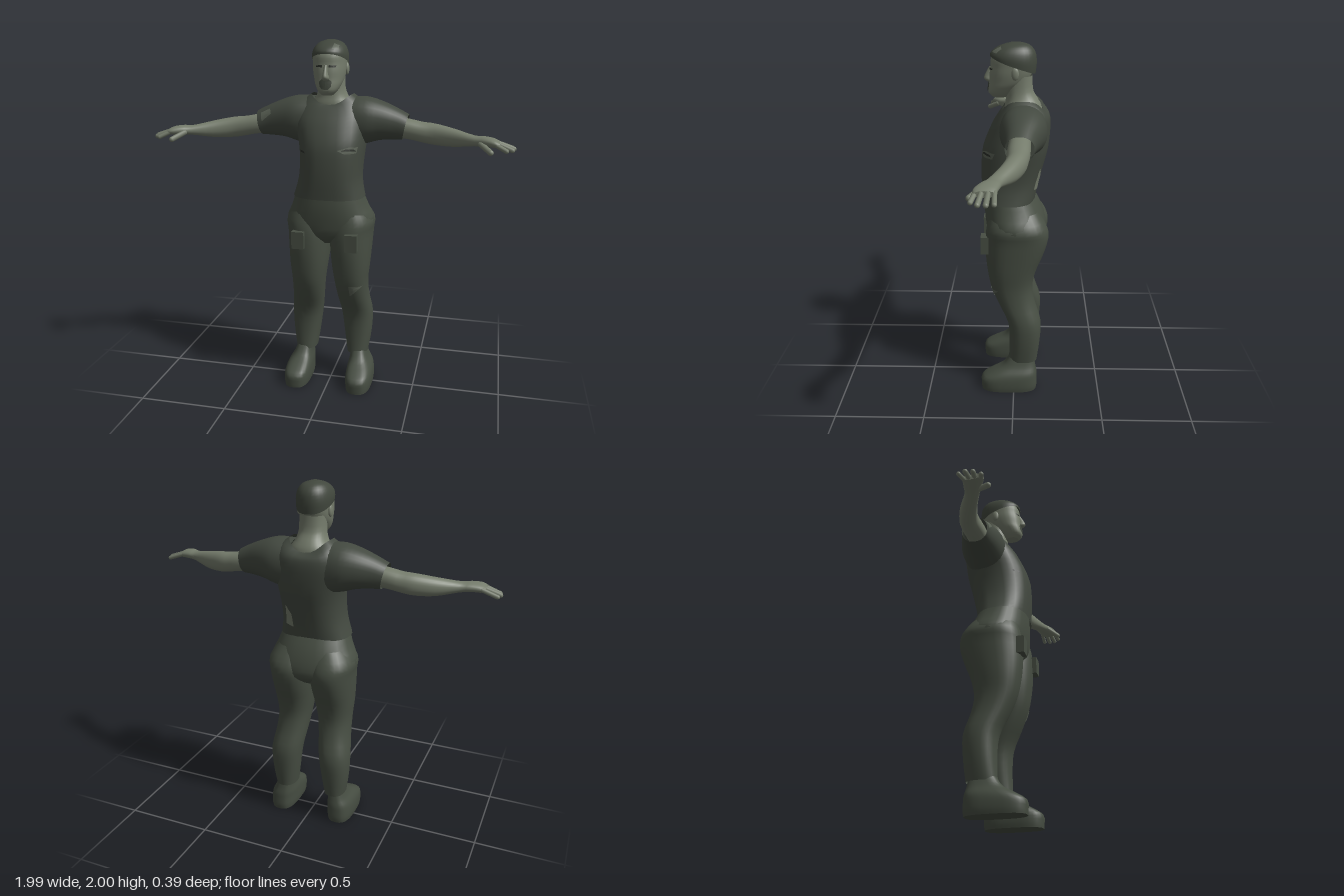
import * as THREE from 'three';

const mat = (name, color) => {
  const m = new THREE.MeshStandardMaterial({ color, side: THREE.DoubleSide });
  m.name = name;
  return m;
};

// Smooth interpolation of profile rows, three steps per span
function refine(rows, steps = 3) {
  const out = [], at = i => rows[Math.min(Math.max(i, 0), rows.length - 1)];
  for (let i = 0; i < rows.length - 1; i++) {
    for (let s = 0; s < steps; s++) {
      const u = s / steps;
      out.push(rows[i].map((p1, k) => {
        const p0 = at(i - 1)[k], p2 = at(i + 1)[k], p3 = at(i + 2)[k];
        const m1 = (p2 - p0) / 2, m2 = (p3 - p1) / 2;
        return p1 + u * (m1 + u * (3 * (p2 - p1) - 2 * m1 - m2 + u * (2 * (p1 - p2) + m1 + m2)));
      }));
    }
  }
  out.push(rows[rows.length - 1]);
  return out;
}

// Skin a list of closed rings, optionally capping the first and last
function skin(rings, capStart, capEnd) {
  const n = rings[0].length, pos = [], idx = [];
  rings.forEach(r => r.forEach(p => pos.push(...p)));
  for (let j = 0; j < rings.length - 1; j++) {
    for (let i = 0; i < n; i++) {
      const a = j * n + i, b = j * n + (i + 1) % n;
      idx.push(a, b, b + n, a, b + n, a + n);
    }
  }
  const cap = (ring, flip) => {
    const base = pos.length / 3;
    ring.forEach(p => pos.push(...p));
    pos.push(...[0, 1, 2].map(k => ring.reduce((s, p) => s + p[k], 0) / n));
    for (let i = 0; i < n; i++) {
      const a = base + i, b = base + (i + 1) % n;
      idx.push(...(flip ? [b, a, base + n] : [a, b, base + n]));
    }
  };
  if (capStart) cap(rings[0], true);
  if (capEnd) cap(rings[rings.length - 1], false);
  const g = new THREE.BufferGeometry();
  g.setAttribute('position', new THREE.Float32BufferAttribute(pos, 3));
  g.setIndex(idx);
  g.computeVertexNormals();
  return g;
}

const N = 28;
const angles = Array.from({ length: N }, (_, i) => (i / N) * Math.PI * 2);
const bulge = (v, e) => Math.sign(v) * Math.pow(Math.abs(v), 2 / e);

// Upright loft; rows are [y, xMin, xMax, zFront, zBack, tilt, frontDip, backDip]
function upright(rows, e = 2.3, capStart = false, capEnd = false) {
  return skin(refine(rows).map(([y, x0, x1, zf, zb, tilt = 0, df = 0, db = 0]) => angles.map(t => {
    const c = Math.cos(t), f = -Math.sin(t);
    return [
      (x0 + x1) / 2 + (x1 - x0) / 2 * bulge(c, e),
      y + tilt * f - Math.pow(Math.abs(f), 3) * (f > 0 ? df : db),
      (zf + zb) / 2 + (zf - zb) / 2 * bulge(f, e)];
  })), capStart, capEnd);
}

// Sideways loft toward +x; rows are [x, yTop, yBottom, zFront, zBack, slant]
function sideways(rows, e = 2.1, capStart = false, capEnd = false) {
  return skin(refine(rows).map(([x, yt, yb, zf, zb, slant = 0]) => angles.map(t => [
    x + slant * Math.cos(t),
    (yt + yb) / 2 + (yt - yb) / 2 * bulge(Math.cos(t), e),
    (zf + zb) / 2 + (zf - zb) / 2 * bulge(Math.sin(t), e)])), capStart, capEnd);
}

// Copy to the other side of x = 0 and restore the winding
function mirror(geo) {
  const g = geo.clone().applyMatrix4(new THREE.Matrix4().makeScale(-1, 1, 1));
  const ix = g.index.array;
  for (let i = 0; i < ix.length; i += 3) [ix[i], ix[i + 1]] = [ix[i + 1], ix[i]];
  return g;
}

// Rounded finger between two points
function finger(a, b, r) {
  const A = new THREE.Vector3(...a), B = new THREE.Vector3(...b), d = B.clone().sub(A);
  const g = new THREE.CapsuleGeometry(r, d.length() - r, 4, 10);
  g.applyQuaternion(new THREE.Quaternion().setFromUnitVectors(new THREE.Vector3(0, 1, 0), d.clone().normalize()));
  const mid = A.add(B).multiplyScalar(0.5);
  return g.translate(mid.x, mid.y, mid.z);
}

// Thin convex plate draped on a mesh from the front (dir 1) or back (dir -1)
function drape(target, outline, dir = 1, lift = 0.004) {
  const ray = new THREE.Raycaster(), pts = [];
  outline.forEach((p, i) => {
    const q = outline[(i + 1) % outline.length];
    for (const u of [0, 0.25, 0.5, 0.75]) pts.push([p[0] + (q[0] - p[0]) * u, p[1] + (q[1] - p[1]) * u]);
  });
  const cx = pts.reduce((s, p) => s + p[0], 0) / pts.length;
  const cy = pts.reduce((s, p) => s + p[1], 0) / pts.length;
  // Order the outline so the plate faces outward
  const area = outline.reduce((s, p, i) => {
    const q = outline[(i + 1) % outline.length];
    return s + p[0] * q[1] - q[0] * p[1];
  }, 0);
  if (area * dir < 0) pts.reverse();
  return skin([1, 0.66, 0.33, 0.01].map(k => pts.map(p => {
    const x = cx + (p[0] - cx) * k, y = cy + (p[1] - cy) * k;
    ray.set(new THREE.Vector3(x, y, dir * 2), new THREE.Vector3(0, 0, -dir));
    const hit = ray.intersectObject(target)[0];
    return [x, y, (hit ? hit.point.z : 0) + dir * lift];
  })));
}

export function createModel() {
  const model = new THREE.Group();
  const skinTone = mat('skin', 0x757c6c), shirtCloth = mat('shirt cloth', 0x434940);
  const trouserCloth = mat('trouser cloth', 0x474e43), bootLeather = mat('boot leather', 0x454c41);
  const hairTone = mat('hair', 0x41473d), wornCloth = mat('worn cloth', 0x5a6155), dark = mat('dark', 0x2c302a);

  const add = (name, geo, m) => {
    const mesh = new THREE.Mesh(geo, m);
    mesh.name = name;
    model.add(mesh);
    return mesh;
  };
  const pair = (name, geo, m) => [add('left' + name, geo, m), add('right' + name, mirror(geo), m)];

  // Shirt body with dipped neckline
  const shirt = add('shirt', upright([
    [1.155, -.2, .2, .175, -.115, 0, 0, 0], [1.25, -.172, .182, .182, -.135, 0, 0, 0],
    [1.35, -.165, .185, .182, -.16, 0, 0, 0], [1.45, -.175, .195, .17, -.185, 0, 0, 0],
    [1.55, -.2, .2, .13, -.195, 0, 0, 0], [1.62, -.195, .195, .095, -.192, 0, .01, .01],
    [1.675, -.16, .16, .07, -.178, 0, .03, .04], [1.71, -.115, .115, .056, -.15, 0, .052, .06]], 2.5), shirtCloth);

  // Open sleeves
  const sleeves = pair('Sleeve', sideways([
    [.09, 1.695, 1.42, .07, -.17, 0], [.19, 1.697, 1.44, .075, -.175, 0],
    [.27, 1.675, 1.462, .06, -.155, .005], [.35, 1.64, 1.47, .045, -.125, .01],
    [.41, 1.608, 1.472, .04, -.108, .015]], 2.2), shirtCloth);

  // Arms, palms and fingers
  pair('Arm', sideways([
    [.28, 1.61, 1.49, .02, -.09], [.43, 1.585, 1.475, .028, -.088], [.5, 1.572, 1.462, .03, -.08],
    [.57, 1.566, 1.452, .036, -.068], [.67, 1.548, 1.452, .065, -.03], [.78, 1.525, 1.47, .112, .03],
    [.83, 1.526, 1.474, .14, .042], [.88, 1.52, 1.474, .162, .053], [.91, 1.506, 1.476, .158, .06]],
  2.2, true, true), skinTone);
  [[[.885, 1.497, .066], [.978, 1.466, .064], .012],
    [[.885, 1.5, .092], [.988, 1.466, .1], .013],
    [[.885, 1.5, .12], [.98, 1.464, .137], .013],
    [[.88, 1.497, .146], [.95, 1.464, .17], .012],
    [[.81, 1.492, .118], [.872, 1.455, .185], .015]]
    .forEach((f, i) => pair(i < 4 ? 'Finger' + (i + 1) : 'Thumb', finger(...f), skinTone));

  // Trousers
  add('trouserHips', upright([
    [.885, -.11, .11, .09, -.11], [.94, -.2, .2, .145, -.175], [1.01, -.25, .25, .16, -.178],
    [1.1, -.215, .215, .168, -.15], [1.18, -.187, .187, .166, -.108]]), trouserCloth);
  const legs = pair('TrouserLeg', upright([
    [.18, .095, .218, .03, -.135], [.3, .077, .236, .025, -.15], [.43, .06, .241, .035, -.155],
    [.55, .043, .225, .09, -.12], [.65, .03, .221, .13, -.105], [.75, .015, .23, .15, -.125],
    [.85, .004, .237, .16, -.165], [.95, -.004, .243, .16, -.193], [1.02, 0, .248, .15, -.18],
    [1.1, .01, .2, .13, -.13]]), trouserCloth);
  pair('ThighPocket', new THREE.BoxGeometry(.07, .098, .045).translate(.15, .918, .162), trouserCloth);

  // Boots
  pair('Boot', upright([
    [0, .112, .258, .19, -.132], [.03, .108, .262, .192, -.137], [.075, .108, .26, .188, -.136],
    [.11, .11, .25, .135, -.134], [.15, .117, .226, .065, -.126], [.2, .12, .208, .028, -.118]],
  2.8, true), bootLeather);

  // Neck and head
  add('neck', upright([
    [1.6, -.12, .12, .05, -.155], [1.66, -.112, .112, .053, -.147], [1.7, -.086, .086, .047, -.128],
    [1.75, -.073, .073, .045, -.1], [1.83, -.072, .072, .05, -.095]]), skinTone);
  const head = add('head', upright([
    [1.715, -.03, .03, .115, .04], [1.738, -.052, .052, .138, .005], [1.77, -.069, .069, .138, -.03],
    [1.8, -.079, .079, .134, -.07], [1.84, -.087, .087, .132, -.09], [1.88, -.09, .09, .126, -.1],
    [1.92, -.091, .091, .123, -.11], [1.96, -.078, .078, .098, -.1], [1.985, -.05, .05, .055, -.07]],
  2.3, true, true), skinTone);
  const hair = add('hair', upright([
    [1.885, -.0955, .0955, .128, -.111, .045], [1.92, -.096, .096, .126, -.117, .025],
    [1.957, -.085, .085, .106, -.11, .008], [1.985, -.06, .06, .068, -.08, 0],
    [1.999, -.02, .02, .02, -.035, 0]], 2.2, false, true), hairTone);
  add('nose', upright([
    [1.792, -.014, .014, .138, .1], [1.808, -.02, .02, .16, .1],
    [1.83, -.014, .014, .157, .1], [1.875, -.009, .009, .133, .1]], 2, true, true), skinTone);
  pair('Ear', new THREE.SphereGeometry(1, 14, 10).scale(.011, .033, .02).translate(.089, 1.848, -.005), skinTone);
  pair('Eye', drape(head, [[.018, 1.862], [.052, 1.862], [.055, 1.87], [.018, 1.874]]), dark);
  add('goatee', drape(head, [[-.03, 1.762], [-.016, 1.748], [.016, 1.748], [.03, 1.762],
    [.034, 1.788], [.018, 1.803], [-.018, 1.803], [-.034, 1.788]]), hairTone);

  // Bare patch in the hair
  add('hairPatch', drape(hair, [[.03, 1.955], [.065, 1.95], [.06, 1.972], [.035, 1.982]]), wornCloth);

  // Tears and worn spots
  add('chestTear', drape(shirt, [[.07, 1.432], [.11, 1.412], [.165, 1.412], [.172, 1.445], [.13, 1.448]]), wornCloth);
  add('chestTearSlit', drape(shirt, [[.09, 1.43], [.165, 1.424], [.155, 1.436], [.12, 1.44]], 1, .007), dark);
  add('sideTear', drape(shirt, [[-.145, 1.41], [-.11, 1.405], [-.12, 1.418], [-.142, 1.42]]), dark);
  add('backTear', drape(shirt, [[.075, 1.22], [.125, 1.23], [.115, 1.35], [.08, 1.3]], -1), skinTone);
  add('kneeTear', drape(legs[0], [[.13, .648], [.135, .58], [.205, .645]]), wornCloth);
  add('sleeveTear', drape(sleeves[1], [[-.395, 1.6], [-.385, 1.555], [-.33, 1.6], [-.34, 1.625]]), wornCloth);
  return model;
}
